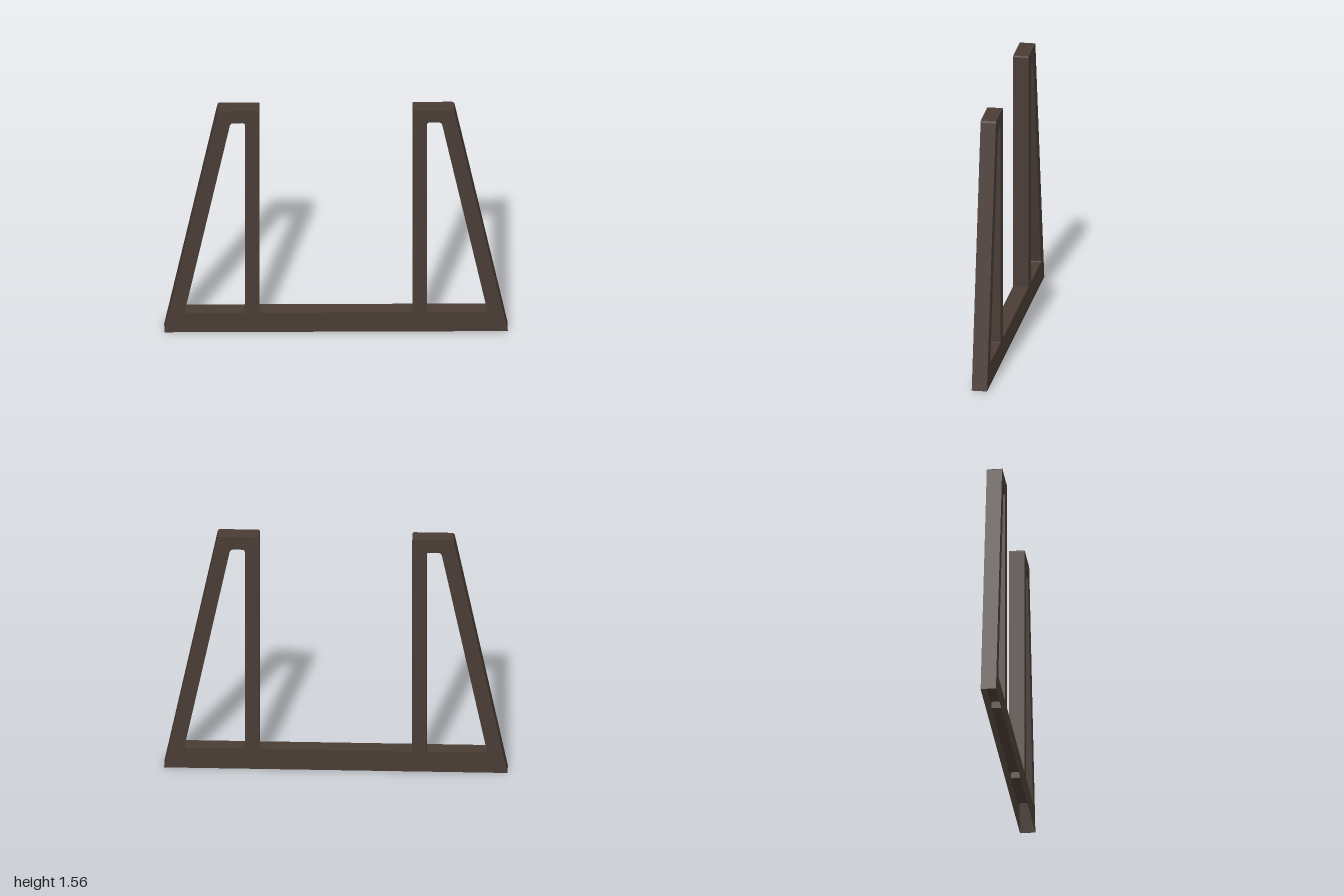
import * as THREE from 'three';

const DEPTH = 0.09;

// Trace a closed outline; each point is [x, y, cornerRadius]
function trace(path, points) {
  const n = points.length;
  points.forEach(([x, y, r = 0], i) => {
    const corner = new THREE.Vector2(x, y);
    const toward = ([px, py]) =>
      new THREE.Vector2(px, py).sub(corner).setLength(r).add(corner);
    const start = r ? toward(points[(i + n - 1) % n]) : corner;
    if (i === 0) path.moveTo(start.x, start.y);
    else path.lineTo(start.x, start.y);
    if (r) {
      const end = toward(points[(i + 1) % n]);
      path.quadraticCurveTo(x, y, end.x, end.y);
    }
  });
  path.closePath();
  return path;
}

// Drop the triangles lying on the centre plane (x = 0) or the open underside (y = 0)
function openShell(geometry) {
  const source = geometry.getAttribute('position').array;
  const kept = [];
  for (let i = 0; i < source.length; i += 9) {
    const tri = Array.from(source.slice(i, i + 9));
    const flatAt = (axis) =>
      [0, 3, 6].every((k) => Math.abs(tri[k + axis]) < 1e-5);
    if (!flatAt(0) && !flatAt(1)) kept.push(...tri);
  }
  const shell = new THREE.BufferGeometry();
  shell.setAttribute('position', new THREE.Float32BufferAttribute(kept, 3));
  shell.computeVertexNormals();
  return shell;
}

export function createModel() {
  const model = new THREE.Group();
  model.name = 'uprightStand';

  const darkBrown = new THREE.MeshStandardMaterial({
    color: 0x493c35,
    side: THREE.DoubleSide,
  });
  darkBrown.name = 'darkBrown';

  // Half of the frame: base rail, sloped brace, crossbar and post
  const half = trace(new THREE.Shape(), [
    [0, 0],
    [1, 0],
    [0.688, 1.56, 0.014],
    [0.445, 1.56, 0.012],
    [0.445, 0.134],
    [0, 0.134],
  ]);

  // Tapered opening between post and brace
  half.holes.push(
    trace(new THREE.Path(), [
      [0.53, 0.134, 0.004],
      [0.53, 1.475, 0.016],
      [0.615, 1.475, 0.02],
      [0.883, 0.134, 0.01],
    ]),
  );

  const solid = new THREE.ExtrudeGeometry(half, {
    depth: DEPTH,
    bevelEnabled: false,
    curveSegments: 5,
  });
  solid.translate(0, 0, -DEPTH / 2);
  const shell = openShell(solid);

  // The same half, turned about, makes the other side
  [['leftFrame', 0], ['rightFrame', Math.PI]].forEach(([name, turn]) => {
    const frame = new THREE.Mesh(shell, darkBrown);
    frame.name = name;
    frame.rotation.y = turn;
    model.add(frame);
  });
  return model;
}
